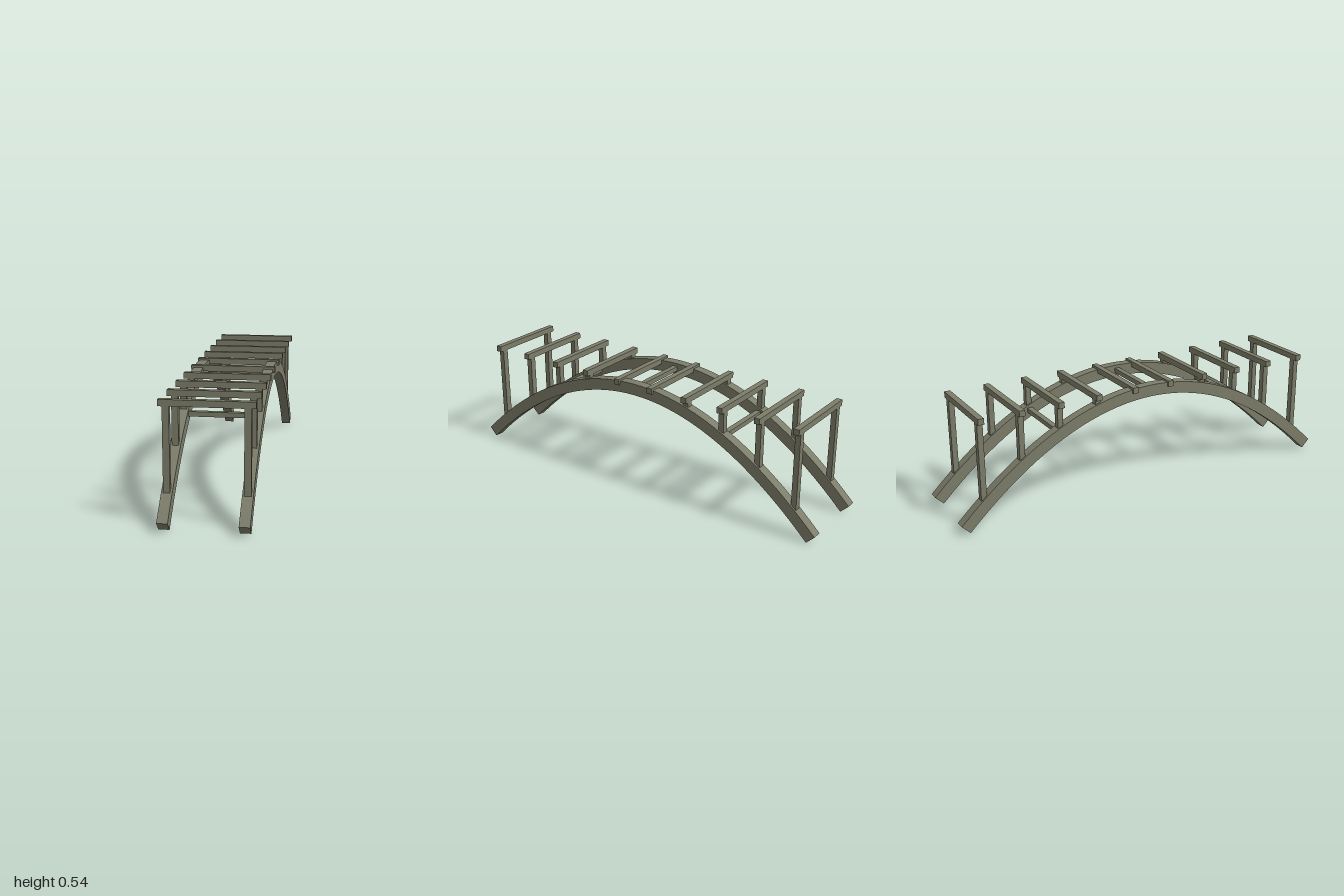
import * as THREE from 'three';
import { toCreasedNormals } from 'three/addons/utils/BufferGeometryUtils.js';

const CREST = 0.508;      // height of the rail centreline at the middle
const END = 0.98;         // half length of the centreline
const HALF = 0.0285;      // half thickness of a rail
const CURVE = (CREST - 0.02) / (END * END);
const archY = (z) => CREST - CURVE * z * z;

export function createModel() {
  const model = new THREE.Group();
  model.name = 'archedLadder';
  const wood = new THREE.MeshStandardMaterial({ color: 0x7d7d6b });
  wood.name = 'weathered wood';

  const add = (name, geometry, x, y, z) => {
    const mesh = new THREE.Mesh(geometry, wood);
    mesh.name = name;
    mesh.position.set(x, y, z);
    model.add(mesh);
  };

  // Side rails: a parabola thickened along its normal, extruded across x
  const outer = [], inner = [];
  const steps = 40;
  for (let i = 0; i <= steps; i++) {
    const z = -END + (2 * END * i) / steps;
    const slope = -2 * CURVE * z;
    const n = new THREE.Vector2(-slope, 1).normalize().multiplyScalar(HALF);
    outer.push(new THREE.Vector2(z + n.x, archY(z) + n.y));
    inner.unshift(new THREE.Vector2(z - n.x, archY(z) - n.y));
  }
  const width = 0.048;
  const rail = new THREE.ExtrudeGeometry(new THREE.Shape([...inner, ...outer]), {
    depth: width, bevelEnabled: false,
  });
  rail.translate(0, 0, -width / 2);
  rail.rotateY(-Math.PI / 2);
  const railGeometry = toCreasedNormals(rail, 0.5);
  add('leftRail', railGeometry, 0.172, 0, 0);
  add('rightRail', railGeometry, -0.172, 0, 0);

  // Level rungs, each on a pair of posts standing on the rails
  const rungBottom = 0.513, rungTop = 0.542;
  const rung = new THREE.BoxGeometry(0.412, rungTop - rungBottom, 0.029);
  for (const end of [1, -1]) {
    for (let i = 0; i < 5; i++) {
      const z = end * (0.098 + 0.196 * i);
      add('rung', rung, 0, (rungTop + rungBottom) / 2, z);
      if (i === 0) continue; // the middle rungs rest in the rails
      const foot = archY(z);
      const post = new THREE.BoxGeometry(0.03, rungBottom - foot, 0.027);
      for (const side of [1, -1]) add('post', post, side * 0.172, (rungBottom + foot) / 2, z);
    }
  }

  // Braces tying the two rails together
  const brace = new THREE.BoxGeometry(0.3, 0.023, 0.027);
  for (const z of [-0.49, 0, 0.49]) add('brace', brace, 0, z === 0 ? 0.5095 : 0.3895, z);

  return model;
}
